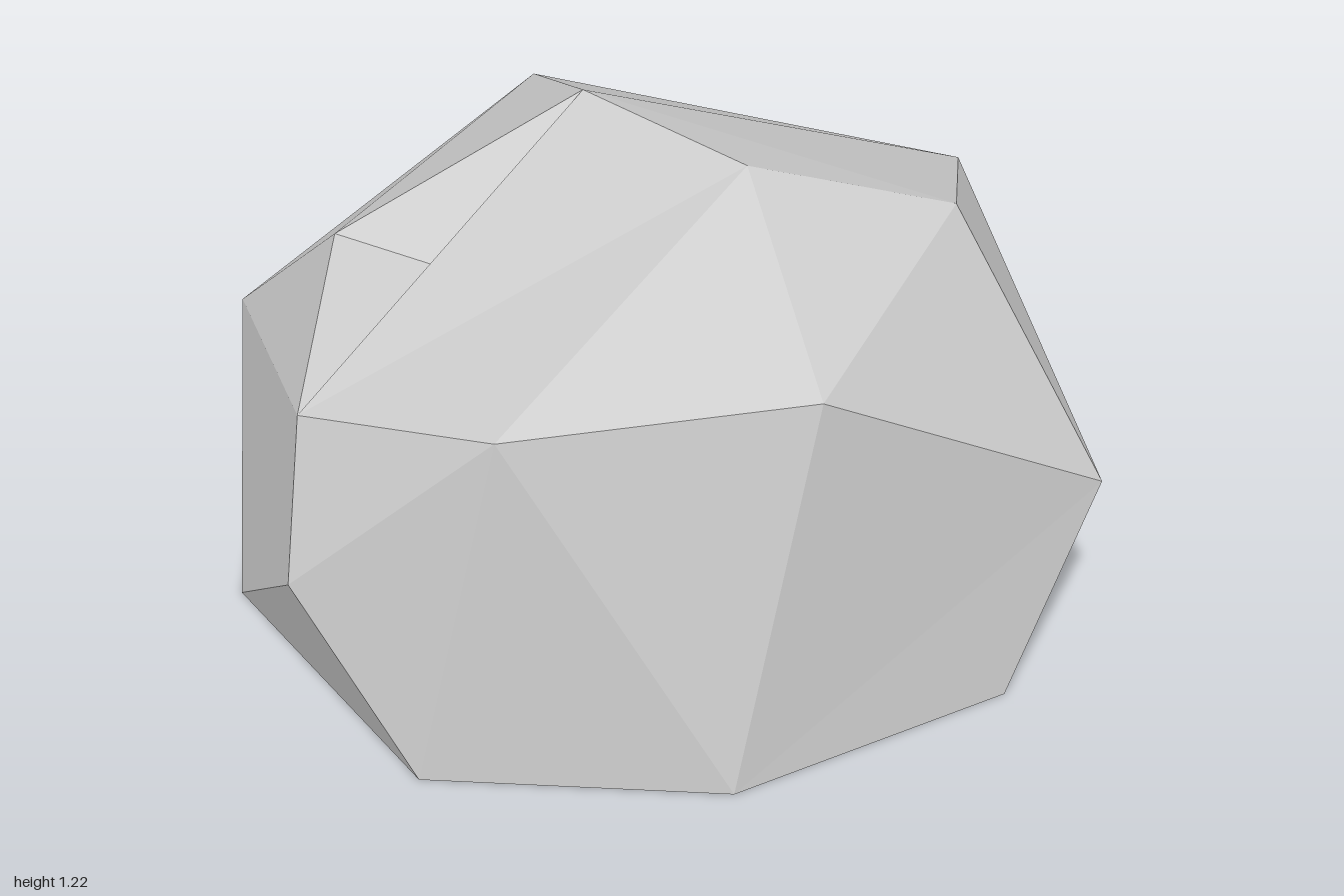
import * as THREE from 'three';

// Corner points of the boulder: crown, waist and ground ring
const points = {
  // crown
  peak: [-0.14, 1.22, -0.11], brow: [0.2, 1.2, 0.26], shoulder: [0.69, 1.05, 0.21],
  crownFront: [0.3, 0.92, 0.83], crownFrontRight: [-0.41, 0.88, 0.86], ledge: [-0.83, 0.77, 0.53],
  crownRight: [-0.73, 0.93, 0], notch: [-0.5, 0.86, 0.05],
  crownBack: [-0.22, 0.98, -0.68], crownLeft: [0.81, 0.84, -0.4],
  // waist
  waistLeft: [1, 0.48, 0.53], waistFront: [-0.87, 0.42, 0.68], waistRight: [-0.97, 0.51, -0.44],
  waistBack: [-0.36, 0.42, -0.99], waistBackLeft: [0.5, 0.34, -0.92],
  // ground ring
  footFront: [0.1, 0, 0.99], footFrontRight: [-0.6, 0, 0.87], footFrontLeft: [0.77, 0, 0.68],
  footLeft: [0.98, 0, -0.12], footRight: [-1, 0, 0.1], footBack: [0.37, 0, -0.89],
  footBackRight: [-0.62, 0, -0.67],
};

// Each fan joins a hub to its neighbours, counter-clockwise from outside
const outerFans = {
  peak: 'shoulder crownLeft crownBack crownRight notch ledge brow shoulder',
  brow: 'ledge crownFrontRight crownFront shoulder',
  waistLeft: 'shoulder crownFront footFront footFrontLeft footLeft crownLeft shoulder',
  footFront: 'crownFront crownFrontRight footFrontRight',
  ledge: 'notch crownRight waistRight footRight waistFront crownFrontRight',
  waistFront: 'footRight footFrontRight crownFrontRight',
  crownBack: 'crownLeft waistBackLeft waistBack waistRight crownRight',
  waistBackLeft: 'crownLeft footLeft footBack waistBack',
  footBackRight: 'footRight waistRight waistBack footBack',
};

// Inner walls behind the front corners, seen from underneath
const innerFans = {
  ledge: 'crownFrontRight footFrontRight footRight',
  crownFrontRight: 'brow footFrontLeft footFront',
};

function fanGeometry(fans) {
  const positions = [];
  for (const [hub, list] of Object.entries(fans)) {
    const ring = list.split(' ');
    for (let i = 0; i < ring.length - 1; i++) {
      positions.push(...points[hub], ...points[ring[i]], ...points[ring[i + 1]]);
    }
  }
  const geometry = new THREE.BufferGeometry();
  geometry.setAttribute('position', new THREE.Float32BufferAttribute(positions, 3));
  geometry.computeVertexNormals();
  return geometry;
}

export function createModel() {
  const group = new THREE.Group();
  group.name = 'boulder';
  const material = new THREE.MeshStandardMaterial({
    color: 0xcccccc, flatShading: true, side: THREE.DoubleSide,
  });
  for (const [name, fans] of [['rockShell', outerFans], ['innerWalls', innerFans]]) {
    const mesh = new THREE.Mesh(fanGeometry(fans), material);
    mesh.name = name;
    group.add(mesh);
  }
  return group;
}
